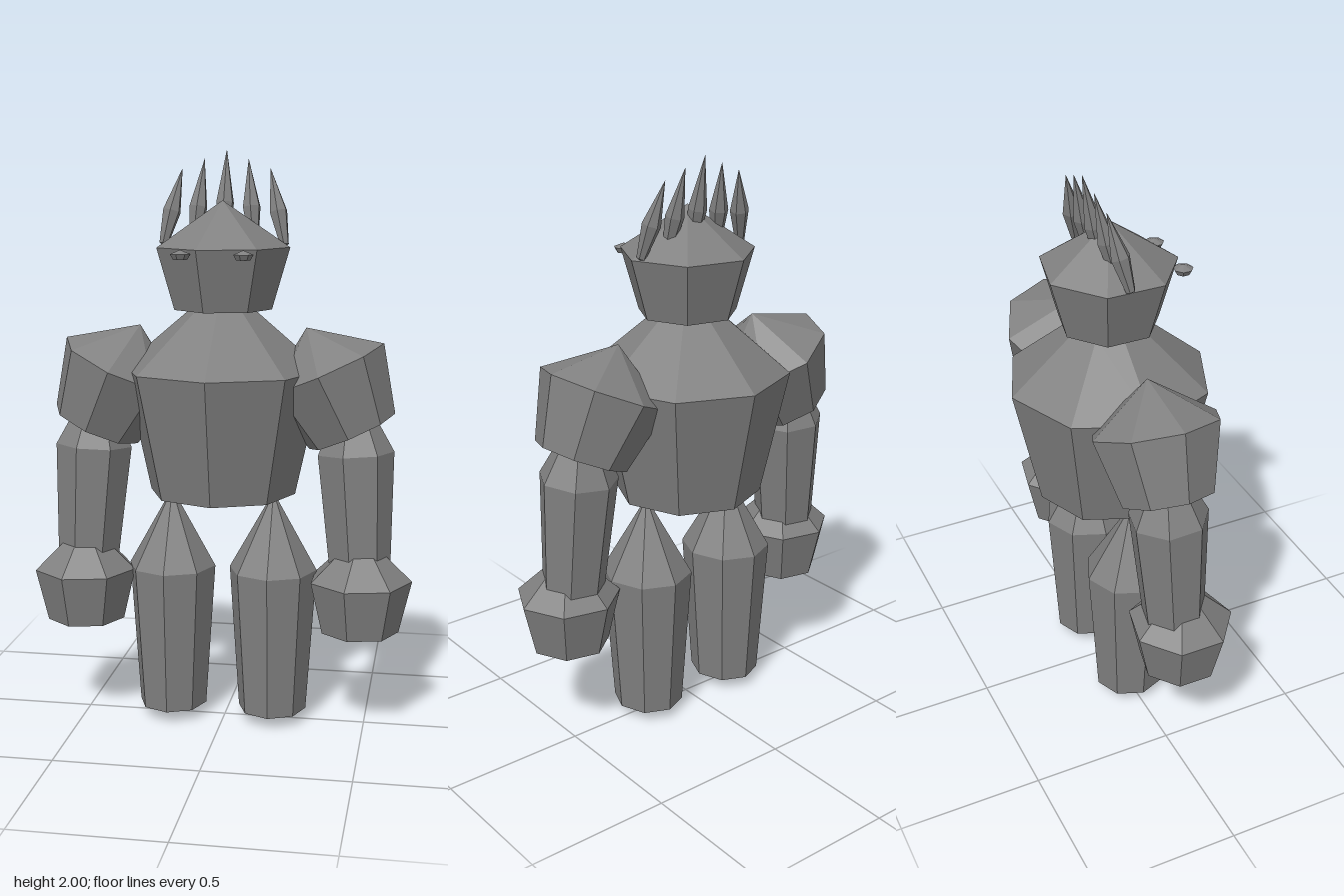
import * as THREE from 'three';

const stone = new THREE.MeshStandardMaterial({ color: 0x808080 });
stone.name = 'grey stone';

const UP = new THREE.Vector3(0, 1, 0);

// Faceted rock: a profile of [radius, height] pairs, bottom to top, turned with few sides
function rock(name, sides, profile, start = 0) {
  const points = profile.map(([r, y]) => new THREE.Vector2(r, y));
  const geometry = new THREE.LatheGeometry(points, sides, start).toNonIndexed();
  geometry.computeVertexNormals();
  const mesh = new THREE.Mesh(geometry, stone);
  mesh.name = name;
  return mesh;
}

// Stand a rock at one point, leaning towards another
function lean(mesh, from, to) {
  const a = new THREE.Vector3(...from);
  const direction = new THREE.Vector3(...to).sub(a).normalize();
  mesh.position.copy(a);
  mesh.quaternion.setFromUnitVectors(UP, direction);
  return mesh;
}

export function createModel() {
  const model = new THREE.Group();
  model.name = 'stoneGolem';
  const quarter = Math.PI / 2;

  // Body and head
  model.add(rock('torso', 8, [[0, 0.8], [0.255, 0.825], [0.35, 1.26], [0.115, 1.46], [0, 1.48]]));
  model.add(rock('head', 7, [[0, 1.455], [0.17, 1.465], [0.231, 1.675], [0, 1.83]], quarter));

  // Crown of five spikes, fanned and leaning back
  for (let i = -2; i <= 2; i++) {
    const n = Math.abs(i);
    const base = [i * 0.105, 1.675, -0.02];
    const tip = [i * 0.076, 2 - n * 0.032, -0.09 + n * 0.006];
    const length = Math.hypot(tip[0] - base[0], tip[1] - base[1], tip[2] - base[2]);
    const spike = rock('crownSpike', 6, [[0, 0], [0.016, 0.008], [0.032, length * 0.45], [0, length]]);
    model.add(lean(spike, base, tip));
  }

  for (const s of [1, -1]) {
    const side = s > 0 ? 'left' : 'right';

    // Eye pebble
    const eye = rock(side + 'Eye', 7, [[0, -0.016], [0.024, -0.014], [0.034, 0.004], [0, 0.018]], quarter);
    eye.position.set(s * 0.104, 1.658, 0.216);
    model.add(eye);

    // Arm: shoulder block, forearm and fist
    const shoulder = rock(side + 'Shoulder', 8, [[0, -0.015], [0.16, 0], [0.22, 0.235], [0, 0.388]]);
    model.add(lean(shoulder, [s * 0.449, 1.052, 0], [s * 0.289, 1.405, 0]));

    const forearm = rock(side + 'Forearm', 7, [[0, -0.01], [0.108, 0], [0.135, 0.41], [0, 0.68]], quarter);
    model.add(lean(forearm, [s * 0.483, 0.57, 0.018], [s * 0.445, 1.25, -0.012]));

    const fist = rock(side + 'Fist', 7, [[0, 0.345], [0.137, 0.357], [0.18, 0.54], [0, 0.71]], quarter);
    fist.position.set(s * 0.488, 0, 0.043);
    model.add(fist);

    // Leg
    const leg = rock(side + 'Leg', 8, [[0, 0], [0.12, 0.042], [0.154, 0.555], [0, 0.83]]);
    leg.position.set(s * 0.18, 0, 0.003);
    leg.scale.z = 1.06;
    model.add(leg);
  }

  model.position.x = -0.008;
  const root = new THREE.Group();
  root.add(model);
  return root;
}
